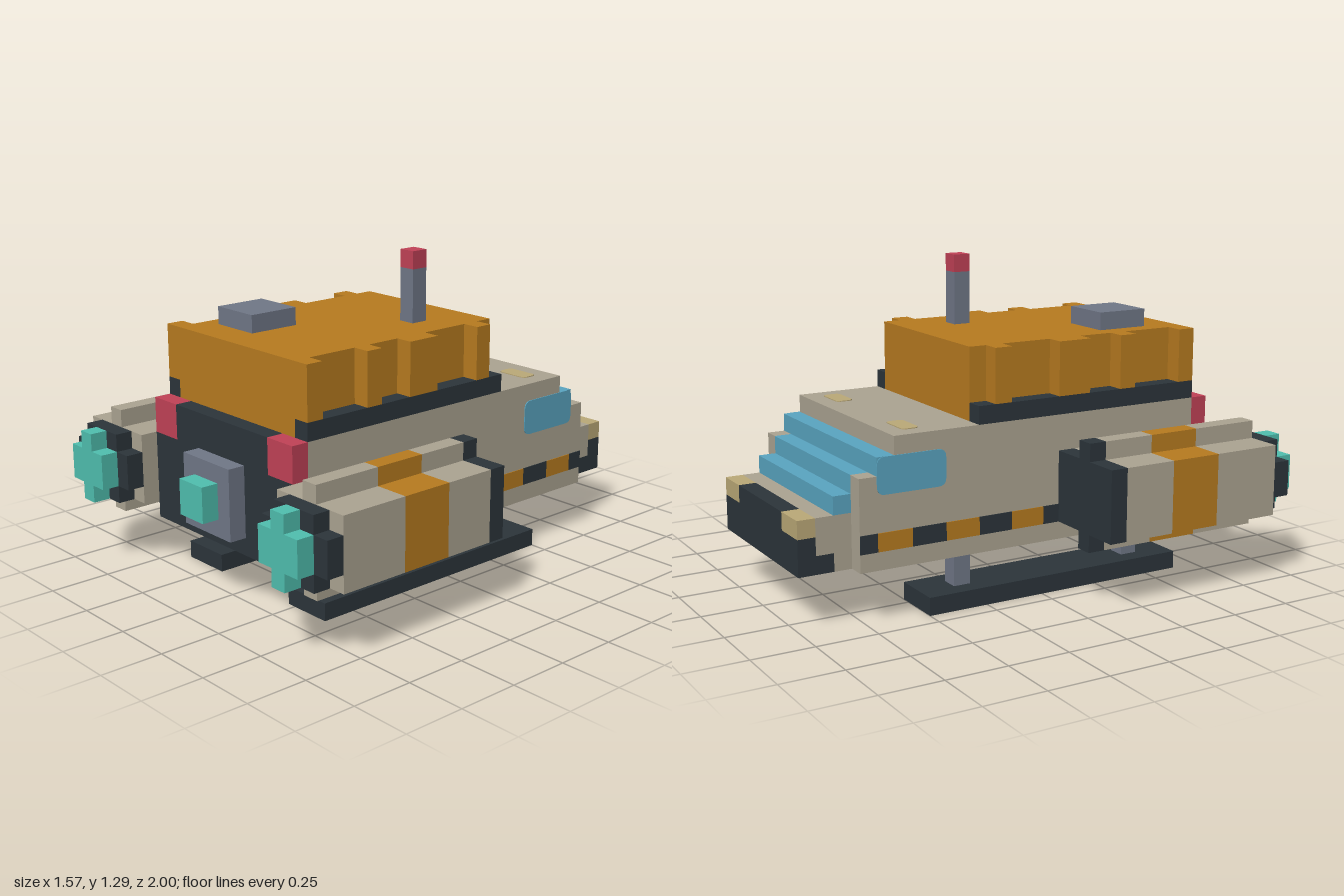
import * as THREE from 'three';

const U = 1 / 14; // one block
const mat = (name, color) => {
  const m = new THREE.MeshStandardMaterial({ color });
  m.name = name;
  return m;
};

export function createModel() {
  const hullM = mat('hull beige', 0xada593);
  const orange = mat('orange', 0xb97c20);
  const dark = mat('dark slate', 0x2c353b);
  const grey = mat('metal grey', 0x717888);
  const red = mat('lamp red', 0xc24257);
  const teal = mat('glow teal', 0x50c0b0);
  const blue = mat('glass blue', 0x5aa6c2);
  const yellow = mat('light yellow', 0xbcaa78);

  const root = new THREE.Group();
  root.name = 'shuttle';

  const add = (name, geo, m) => {
    const mesh = new THREE.Mesh(geo, m);
    mesh.name = name;
    root.add(mesh);
    return mesh;
  };
  // Box from its bounds, in blocks
  const box = (name, m, x0, x1, y0, y1, z0, z1) => {
    const g = new THREE.BoxGeometry(x1 - x0, y1 - y0, z1 - z0);
    g.translate((x0 + x1) / 2, (y0 + y1) / 2, (z0 + z1) / 2);
    return add(name, g, m);
  };
  // Box mirrored to both sides
  const pair = (name, m, x0, x1, ...rest) => {
    box(name + 'Left', m, x0, x1, ...rest);
    box(name + 'Right', m, -x1, -x0, ...rest);
  };
  // Side profile of [z, y] points, extruded across x from -w to w
  const profile = (name, m, pts, x0, x1) => {
    const s = new THREE.Shape(pts.map(([z, y]) => new THREE.Vector2(-z, y)));
    const g = new THREE.ExtrudeGeometry(s, { depth: x1 - x0, bevelEnabled: false });
    g.rotateY(Math.PI / 2).translate(x0, 0, 0);
    return add(name, g, m);
  };
  // Plus-shaped section: a wide bar (a by b) joined with a tall bar (c by d), half sizes
  const plus = (name, m, cx, a, b, c, d, z0, z1) => {
    const p = [[a, -b], [a, b], [c, b], [c, d], [-c, d], [-c, b], [-a, b], [-a, -b], [-c, -b], [-c, -d], [c, -d], [c, -b]];
    const s = new THREE.Shape(p.map(([x, y]) => new THREE.Vector2(x, y)));
    const g = new THREE.ExtrudeGeometry(s, { depth: z1 - z0, bevelEnabled: false });
    g.translate(cx, 6, z0);
    return add(name, g, m);
  };
  // Thin plate with rounded corners, centred on the origin in xy
  const plate = (w, h, r) => {
    const s = new THREE.Shape(), x = w / 2, y = h / 2;
    s.moveTo(-x + r, -y).lineTo(x - r, -y).quadraticCurveTo(x, -y, x, -y + r);
    s.lineTo(x, y - r).quadraticCurveTo(x, y, x - r, y);
    s.lineTo(-x + r, y).quadraticCurveTo(-x, y, -x, y - r);
    s.lineTo(-x, -y + r).quadraticCurveTo(-x, -y, -x + r, -y);
    return new THREE.ExtrudeGeometry(s, { depth: 0.05, bevelEnabled: false, curveSegments: 4 });
  };

  // Hull and stepped windscreen
  profile('hull', hullM, [[10, 3], [-11, 3], [-11, 7], [-10, 7], [-10, 8], [-9, 8], [-9, 10], [10, 10]], -6, 6);
  pair('windscreenCheek', hullM, 5, 6, 7, 8, -11, -10);
  box('windscreenTop', blue, -6, 6, 8, 9, -10, -9);
  box('windscreenMiddle', blue, -5, 5, 7, 8, -11, -10);
  box('windscreenBottom', blue, -5, 5, 6, 7, -12, -11);

  // Nose with bumper and lights
  profile('nose', hullM, [[-11, 3], [-12, 3], [-12, 4], [-13, 4], [-13, 6], [-11, 6]], -5, 5);
  profile('bumper', dark, [[-12, 3], [-14, 3], [-14, 5], [-13, 5], [-13, 4], [-12, 4]], -5, 5);
  box('bumperCentre', dark, -3, 3, 5, 6, -14, -13);
  pair('noseLight', yellow, 3, 5, 5, 6, -14, -13);

  // Side windows, roof lights and checked side stripe
  for (const s of [1, -1]) {
    const win = plate(4, 2, 0.45);
    win.rotateY(s * Math.PI / 2).translate(s * 6, 8, -8);
    add('sideWindow', win, blue);
    const spot = plate(2, 1, 0.3);
    spot.rotateX(-Math.PI / 2).translate(s * 4, 10, -7.5);
    add('roofLight', spot, yellow);
  }
  for (let z = -12, i = 0; z < 1; z += 2, i++) {
    pair('stripe', i % 2 ? orange : dark, 6, 6.05, 4, 5, Math.max(z, -11), Math.min(z + 2, 1));
  }

  // Cargo cover with ribs over dark rails
  box('cargoCover', orange, -5, 5, 10, 14, -4, 10);
  pair('coverRail', dark, 5, 6, 10, 11, -4, 10);
  for (const [a, b] of [[-3, -2], [1, 3], [5, 6], [9, 10]]) pair('coverRib', orange, 5, 6, 11, 14, a, b);
  box('roofHatch', grey, -4, -1, 14, 15, 5, 8);
  box('antenna', grey, 2, 3, 14, 17, -1, 0);
  box('antennaTip', red, 2, 3, 17, 18, -1, 0);

  // End panel with lamps and central thruster
  box('endPanel', dark, -6, 6, 3, 8, 10, 11);
  box('endPanelTop', dark, -4, 4, 8, 10, 10, 11);
  pair('endLamp', red, 4, 6, 8, 10, 10, 11);
  box('thrusterFrame', grey, -2, 2, 4, 8, 11, 12);
  box('thrusterGlow', teal, -1, 1, 5, 7, 12, 13);

  // Engine pods
  for (const cx of [8.5, -8.5]) {
    plus('podIntake', dark, cx, 2.5, 2, 0.5, 3, 1, 2);
    plus('podBody', hullM, cx, 2.5, 2, 0.5, 3, 2, 5);
    plus('podBand', orange, cx, 2.5, 2, 0.5, 3, 5, 8);
    plus('podTail', hullM, cx, 2.5, 2, 0.5, 3, 8, 12);
    plus('podNozzle', dark, cx, 2.5, 1, 1.5, 2, 12, 13);
    plus('podGlow', teal, cx, 1.5, 1, 0.5, 2, 13, 14);
  }

  // Landing skids
  pair('skid', dark, 3, 6, 0, 1, -7, 9);
  pair('skidLegA', grey, 4, 5, 1, 3, 6, 7);
  pair('skidLegB', grey, 4, 5, 1, 3, -5, -4);

  root.scale.setScalar(U);
  const model = new THREE.Group();
  model.name = 'model';
  model.add(root);
  return model;
}
